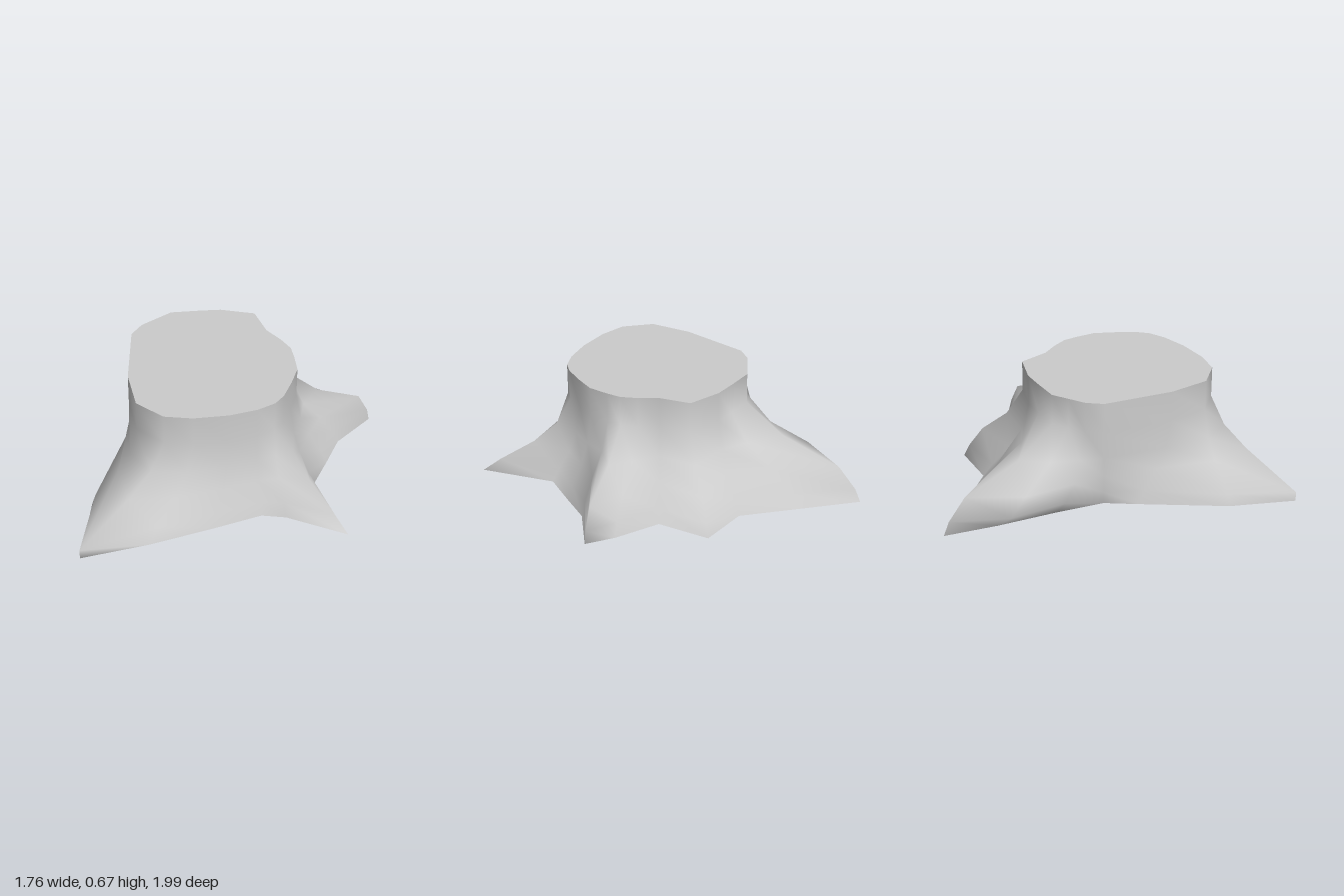
import * as THREE from 'three';

// Columns around the stump: base x, z, top x, z, then root hump, side bulge, drop below the base
const columns = [
  [-0.14, -1.0, -0.15, -0.32, 0.9],               // back root tip
  [0.07, -0.74, 0.0, -0.3, 0.4],
  [0.28, -0.48, 0.12, -0.28],
  [0.55, -0.43, 0.29, -0.2, 0.6],                 // short back-left root
  [0.54, -0.14, 0.31, -0.03, 0.3],
  [0.76, 0.0, 0.36, 0.07, 0.6],
  [0.88, 0.11, 0.39, 0.16, 1],                    // left root tip
  [0.65, 0.26, 0.385, 0.24, 0.4],
  [0.54, 0.41, 0.37, 0.35],
  [0.41, 0.58, 0.31, 0.45],
  [0.47, 0.99, 0.24, 0.55],                       // front root tip
  [0.2, 0.79, 0.18, 0.6],
  [0.08, 0.745, 0.08, 0.63],
  [-0.18, 0.78, -0.07, 0.64],
  [-0.53, 0.82, -0.25, 0.62],
  [-0.88, 0.77, -0.39, 0.57, 0, 0, 0.06],         // right root tip
  [-0.75, 0.41, -0.5, 0.43, 0, 0, 0.03],
  [-0.48, 0.0, -0.495, 0.2],
  [-0.36, -0.14, -0.4, -0.17],
  [-0.29, -0.4, -0.33, -0.24, 0.4, -0.06],
  [-0.22, -0.72, -0.24, -0.28, 0.8, -0.1],        // overhanging flank of the back root
];

// Ring heights, with the outward spread of a lean root and of a humped root
const heights = [0.06, 0.13, 0.24, 0.35, 0.5, 0.667];
const lean = [1, 0.8, 0.42, 0.16, 0, 0];
const humped = [1, 0.97, 0.85, 0.34, 0, 0];
const bulgeAt = [0, 0.8, 1, 0.3, 0, 0];

function ringPoint([bx, bz, tx, tz, hump = 0, bulge = 0, drop = 0], i) {
  let f = lean[i] + (humped[i] - lean[i]) * hump;
  if (i === 1) f = Math.min(1, f + drop * 4);
  const y = heights[i] - (i === 0 ? drop : i === 1 ? drop * 1.3 : 0);
  return [tx + (bx - tx) * f + bulge * bulgeAt[i], y, tz + (bz - tz) * f];
}

function makeMesh(name, positions, index) {
  const geometry = new THREE.BufferGeometry();
  geometry.setAttribute('position', new THREE.Float32BufferAttribute(positions, 3));
  geometry.setIndex(index);
  geometry.computeVertexNormals();
  const mesh = new THREE.Mesh(geometry, new THREE.MeshStandardMaterial({ color: 0xcccccc, roughness: 0.9 }));
  mesh.name = name;
  return mesh;
}

// Fan closing one ring
function makeCap(name, level, centre, up) {
  const n = columns.length;
  const positions = [...centre, ...columns.flatMap((c) => ringPoint(c, level))];
  const index = [];
  for (let j = 0; j < n; j++) {
    const a = j + 1, b = ((j + 1) % n) + 1;
    index.push(0, ...(up ? [b, a] : [a, b]));
  }
  return makeMesh(name, positions, index);
}

export function createModel() {
  const group = new THREE.Group();
  group.name = 'treeStump';
  const n = columns.length;

  // Bark: stacked rings from the root outline up to the cut
  const positions = heights.flatMap((_, i) => columns.flatMap((c) => ringPoint(c, i)));
  const index = [];
  for (let i = 0; i < heights.length - 1; i++) {
    for (let j = 0; j < n; j++) {
      const k = (j + 1) % n;
      const a = i * n + j, b = i * n + k;
      index.push(a, a + n, b + n, a, b + n, b);
    }
  }
  group.add(makeMesh('barkAndRoots', positions, index));

  // Cut top and underside
  group.add(makeCap('cutTop', heights.length - 1, [-0.06, 0.667, 0.18], true));
  group.add(makeCap('underside', 0, [-0.13, 0.06, 0.2], false));
  return group;
}
